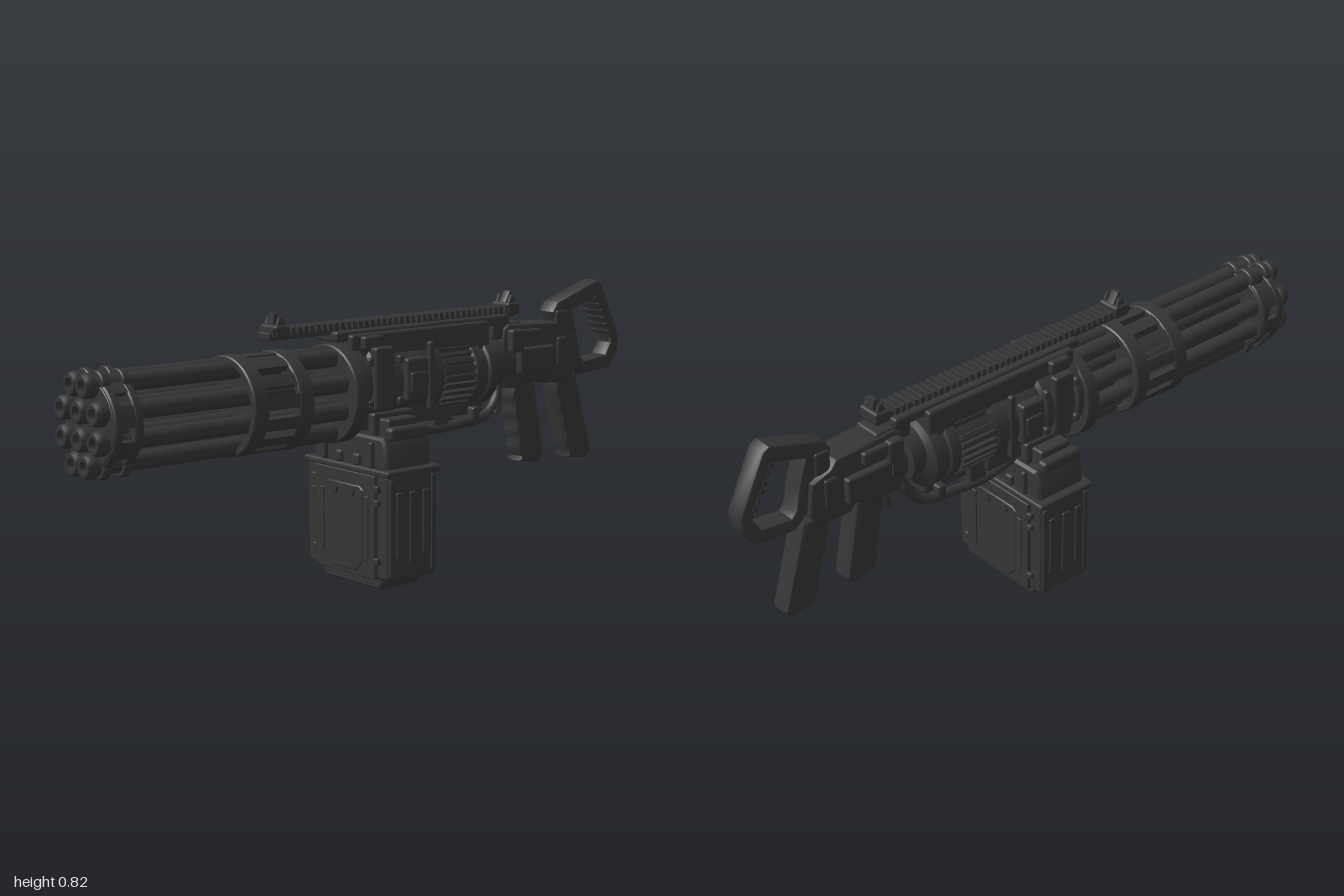
import * as THREE from 'three';
import { RoundedBoxGeometry } from 'three/addons/geometries/RoundedBoxGeometry.js';
import { toCreasedNormals } from 'three/addons/utils/BufferGeometryUtils.js';

export function createModel() {
  const root = new THREE.Group();
  const gunmetal = new THREE.MeshStandardMaterial({ color: 0x363636 });
  gunmetal.name = 'gunmetal';
  const AXIS = 0.565;

  const add = (name, geo, x = 0, y = 0, z = 0) => {
    const m = new THREE.Mesh(geo, gunmetal);
    m.name = name;
    m.position.set(x, y, z);
    root.add(m);
    return m;
  };
  // softened block given by its extents in y and z, centred on x
  const block = (name, w, y0, y1, z0, z1, x = 0, r = 0.008) =>
    add(name, new RoundedBoxGeometry(w, y1 - y0, z1 - z0, 2, Math.min(r, w / 3, (y1 - y0) / 3, (z1 - z0) / 3)),
      x, (y0 + y1) / 2, (z0 + z1) / 2);
  const both = (fn) => [-1, 1].forEach(fn);
  // turned part along z, profile points are [radius, z]
  const turned = (name, pts, x = 0, y = AXIS, seg = 32) => {
    const g = new THREE.LatheGeometry(pts.map(p => new THREE.Vector2(...p)), seg);
    return add(name, toCreasedNormals(g.rotateX(Math.PI / 2), 0.6), x, y);
  };
  const shapeOf = (pts) => new THREE.Shape(pts.map(p => new THREE.Vector2(...p)));
  // side profile in [z, y], extruded to width w with bevelled edges
  const profile = (name, shape, w, x = 0, bevel = 0.01) => {
    const g = new THREE.ExtrudeGeometry(shape, {
      depth: w - 2 * bevel, bevelThickness: bevel, bevelSize: bevel, bevelOffset: -bevel, bevelSegments: 2, curveSegments: 8
    });
    g.translate(0, 0, bevel - w / 2).rotateY(-Math.PI / 2);
    return add(name, toCreasedNormals(g, 0.7), x);
  };
  // front profile in [x, y], extruded from z0 to z1
  const frontal = (name, shape, z0, z1, bevel = 0.004) => {
    const g = new THREE.ExtrudeGeometry(shape, {
      depth: z1 - z0 - 2 * bevel, bevelThickness: bevel, bevelSize: bevel, bevelOffset: -bevel, bevelSegments: 1, curveSegments: 24
    });
    return add(name, toCreasedNormals(g.translate(0, 0, z0 + bevel), 0.5));
  };
  const tube = (name, pts, r) => add(name, new THREE.TubeGeometry(
    new THREE.CatmullRomCurve3(pts.map(p => new THREE.Vector3(...p))), 24, r, 10));
  const arcShape = (r0, r1, a0, a1) => {
    const s = new THREE.Shape();
    s.absarc(0, AXIS, r1, a0, a1, false);
    s.absarc(0, AXIS, r0, a1, a0, true);
    return s;
  };
  const ring = (name, r0, r1, z0, z1) => {
    const s = new THREE.Shape().absarc(0, AXIS, r1, 0, Math.PI * 2, false);
    s.holes.push(new THREE.Path().absarc(0, AXIS, r0, 0, Math.PI * 2, true));
    return frontal(name, s, z0, z1);
  };
  const slotted = (name, r0, r1, z0, z1, end, n, fill) => {
    ring(name + 'RearRing', r0, r1, z0, z0 + end);
    ring(name + 'FrontRing', r0, r1, z1 - end, z1);
    for (let i = 0; i < n; i++) {
      const a = i * Math.PI * 2 / n;
      frontal(name + 'Bar', arcShape(r0, r1 - 0.002, a, a + Math.PI * 2 / n * fill), z0 + end - 0.006, z1 - end + 0.006, 0.001);
    }
  };

  // barrels
  const spots = [[0, 0.6], [0, 0.525]];
  both(s => spots.push([s * 0.03, 0.67], [s * 0.078, 0.602], [s * 0.078, 0.525], [s * 0.03, 0.458]));
  for (const [x, y] of spots) {
    turned('barrel', [[0.026, 0.12], [0.026, 0.955], [0.026, 0.966], [0.034, 0.97], [0.034, 0.988], [0.027, 1],
      [0.017, 1], [0.013, 0.985], [0.013, 0.96], [0, 0.96]], x, y, 14);
    if (x) both(s => turned('clampLobe', [[0, -0.012], [0.036, -0.012], [0.039, -0.008], [0.039, 0.008], [0.036, 0.012], [0, 0.012]], x, y, 18)
      .position.z = 0.914 + s * 0.032);
  }
  // muzzle clamp
  both(s => turned('muzzleClampPlate', [[0, -0.014], [0.116, -0.014], [0.12, -0.01], [0.12, 0.01], [0.116, 0.014], [0, 0.014]])
    .position.z = 0.914 + s * 0.032);
  slotted('muzzleClamp', 0.108, 0.126, 0.87, 0.958, 0.026, 8, 0.6);
  turned('clampCore', [[0, 0.88], [0.095, 0.88], [0.095, 0.95], [0, 0.95]]);

  // slotted barrel sleeve
  slotted('sleeve', 0.118, 0.141, 0.32, 0.525, 0.05, 14, 0.6);
  turned('sleeveSpacer', [[0, 0.34], [0.117, 0.34], [0.117, 0.36], [0, 0.36]]);
  turned('sleeveFrontSpacer', [[0, 0.485], [0.117, 0.485], [0.117, 0.505], [0, 0.505]]);

  // rotor collar and receiver housing
  turned('collar', [[0, 0.125], [0.138, 0.125], [0.142, 0.13], [0.142, 0.165], [0.138, 0.17], [0, 0.17]]);
  turned('housing', [[0, -0.2], [0.1, -0.2], [0.108, -0.18], [0.108, -0.02], [0.118, -0.01], [0.118, 0.07],
    [0.108, 0.08], [0.108, 0.1], [0.122, 0.105], [0.122, 0.135], [0, 0.135]], 0, 0.59);
  block('receiverTop', 0.14, 0.64, 0.735, -0.4, 0.13);
  block('railMount', 0.1, 0.715, 0.745, -0.5, 0.17);
  block('receiverBelly', 0.15, 0.46, 0.6, -0.2, 0.12);
  both(s => {
    block('sidePlate', 0.03, 0.52, 0.7, 0.015, 0.085, s * 0.107);
    block('sideCover', 0.034, 0.535, 0.66, -0.11, -0.03, s * 0.108);
    block('sideCoverBoss', 0.02, 0.56, 0.62, -0.1, -0.04, s * 0.122);
    block('sideRib', 0.02, 0.5, 0.7, -0.145, -0.125, s * 0.103);
    block('topLatch', 0.03, 0.69, 0.73, 0.03, 0.1, s * 0.075);
    for (const z of [-0.012, 0.1]) for (const y of [0.54, 0.66]) block('boltHead', 0.02, y - 0.012, y + 0.012, z - 0.01, z + 0.01, s * 0.112);
  });

  // finned motor
  turned('motor', [[0, -0.43], [0.07, -0.43], [0.09, -0.415], [0.106, -0.405], [0.106, -0.375], [0.098, -0.37], [0.098, -0.355],
    [0.106, -0.35], [0.106, -0.32], [0.097, -0.315], [0.097, -0.19], [0.108, -0.185], [0.108, -0.16], [0, -0.16]], 0, 0.585);
  for (let i = 0; i < 28; i++) {
    const a = i * Math.PI / 14;
    const fin = add('motorFin', new THREE.BoxGeometry(0.02, 0.011, 0.122), Math.cos(a) * 0.1, 0.585 + Math.sin(a) * 0.1, -0.252);
    fin.rotation.z = a;
  }
  turned('motorNeck', [[0, -0.52], [0.06, -0.52], [0.06, -0.47], [0.08, -0.465], [0.08, -0.42], [0, -0.42]], 0, 0.6);

  // rear body
  profile('rearBody', shapeOf([[-0.48, 0.7], [-0.5, 0.715], [-0.7, 0.705], [-0.72, 0.68], [-0.78, 0.66], [-0.79, 0.56],
    [-0.76, 0.52], [-0.66, 0.52], [-0.64, 0.54], [-0.58, 0.52], [-0.49, 0.52], [-0.47, 0.56]]), 0.1);
  block('rearTop', 0.08, 0.67, 0.72, -0.56, -0.44);
  both(s => {
    block('rearSidePanel', 0.03, 0.56, 0.64, -0.68, -0.53, s * 0.056);
    block('rearUpperPanel', 0.024, 0.655, 0.695, -0.62, -0.5, s * 0.054);
    block('rearLug', 0.03, 0.63, 0.7, -0.54, -0.49, s * 0.06);
    block('rearClamp', 0.024, 0.57, 0.66, -0.745, -0.7, s * 0.045);
  });

  // grips with finger ridges on the front edge
  const grip = (name, z, y, dz, h, w) => {
    const pts = [[z - 0.1, y], [z - 0.1 - dz, y - h + 0.02], [z - 0.08 - dz, y - h], [z - dz, y - h + 0.012]];
    for (let i = 0; i <= 8; i++) {
      const t = 0.1 + i * 0.1;
      pts.push([z - dz * (1 - t) + (i % 2 ? 0.0 : -0.009), y - h * (1 - t)]);
    }
    pts.push([z + 0.012, y]);
    return profile(name, shapeOf(pts), w, 0, 0.014);
  };
  grip('frontGrip', -0.525, 0.54, 0.045, 0.268, 0.07);
  grip('rearGrip', -0.705, 0.54, 0.075, 0.28, 0.07);
  tube('trigger', [[0, 0.53, -0.5], [0, 0.48, -0.505], [0, 0.44, -0.49]], 0.009);

  // rear carrying loop
  const loop = shapeOf([[-0.7, 0.735], [-0.72, 0.765], [-0.895, 0.822], [-0.915, 0.81], [-0.998, 0.64], [-0.992, 0.585],
    [-0.955, 0.54], [-0.83, 0.53], [-0.785, 0.57], [-0.775, 0.65], [-0.72, 0.68]]);
  loop.holes.push(new THREE.Path([[-0.785, 0.735], [-0.81, 0.66], [-0.825, 0.59], [-0.84, 0.572], [-0.935, 0.583], [-0.958, 0.62],
    [-0.955, 0.64], [-0.885, 0.768]].map(p => new THREE.Vector2(...p))));
  profile('carryLoop', loop, 0.066);
  for (let i = 0; i < 6; i++) {
    const rib = add('loopRib', new THREE.BoxGeometry(0.07, 0.014, 0.014), 0, 0.765 - i * 0.022, -0.892 - i * 0.0118);
    rib.rotation.x = 0.5;
  }
  block('loopHinge', 0.08, 0.67, 0.74, -0.76, -0.71);

  // toothed top rail and folding sights
  block('rail', 0.05, 0.735, 0.758, -0.545, 0.39, 0, 0.004);
  for (let i = 0; i < 42; i++) add('railTooth', new THREE.BoxGeometry(0.066, 0.02, 0.012), 0, 0.758, 0.375 - i * 0.0219);
  for (const [z, d] of [[0.35, 1], [-0.53, -1]]) {
    block('sightBase', 0.074, 0.74, 0.778, z - 0.025, z + 0.025);
    profile('sightPost', shapeOf([[z - 0.018, 0.775], [z + 0.018, 0.775], [z + 0.008 * d + 0.006, 0.81], [z + 0.008 * d - 0.006, 0.81]]), 0.03, 0, 0.003);
    both(s => profile('sightEar', shapeOf([[z - 0.018, 0.77], [z + 0.018, 0.77], [z + 0.006, 0.8], [z - 0.006, 0.8]]), 0.01, s * 0.025, 0.002));
  }

  // hoses and brackets under the receiver
  both(s => tube('hose', [[s * 0.04, 0.45, -0.05], [s * 0.05, 0.43, -0.18], [s * 0.05, 0.435, -0.3], [s * 0.045, 0.45, -0.41],
    [s * 0.035, 0.5, -0.46], [s * 0.03, 0.56, -0.47]], 0.015));
  block('hoseBracket', 0.12, 0.42, 0.5, -0.25, -0.19);
  block('underMotor', 0.08, 0.455, 0.51, -0.4, -0.1);
  block('rearHoseClamp', 0.13, 0.43, 0.48, -0.37, -0.34);

  // feed tower
  frontal('feedShoulder', shapeOf([[-0.165, 0.35], [0.165, 0.35], [0.16, 0.42], [0.145, 0.445], [-0.145, 0.445], [-0.16, 0.42]]), -0.085, 0.085, 0.008);
  block('feedTower', 0.2, 0.36, 0.51, -0.075, 0.075);
  both(s => {
    block('feedKnob', 0.036, 0.435, 0.475, -0.07, 0.07, s * 0.152, 0.012);
    block('feedArm', 0.05, 0.42, 0.495, -0.055, 0.055, s * 0.115);
    both(f => {
      block('feedRib', 0.016, 0.355, 0.43, f * 0.088 - 0.01, f * 0.088 + 0.01, s * 0.105);
      block('feedLug', 0.03, 0.355, 0.39, f * 0.085 - 0.012, f * 0.085 + 0.012, s * 0.04);
    });
  });

  // ammunition box
  block('ammoBox', 0.362, 0.033, 0.345, -0.092, 0.092, 0, 0.014);
  block('ammoLid', 0.382, 0.336, 0.356, -0.102, 0.102, 0, 0.007);
  frontal('ammoFoot', shapeOf([[-0.12, 0], [0.12, 0], [0.145, 0.03], [0.145, 0.045], [-0.145, 0.045], [-0.145, 0.03]]), -0.075, 0.075, 0.005);
  both(f => {
    const z = f * 0.096;
    block('boxPanel', 0.27, 0.036, 0.338, z - 0.008, z + 0.008, 0, 0.004);
    frontal('boxInset', shapeOf([[-0.055, 0.05], [0.055, 0.05], [0.085, 0.08], [0.085, 0.29], [0.07, 0.3], [-0.07, 0.3], [-0.085, 0.29], [-0.085, 0.08]]),
      z - 0.011, z + 0.011, 0.003);
    both(s => {
      block('boxStrip', 0.02, 0.085, 0.275, z - 0.012, z + 0.012, s * 0.1, 0.003);
      const bolt = add('boxBolt', new THREE.CylinderGeometry(0.015, 0.015, 0.03, 16), s * 0.038, 0.28, f * 0.1);
      bolt.rotation.x = Math.PI / 2;
      for (const y of [0.09, 0.26, 0.3]) block('boxClip', 0.02, y - 0.01, y + 0.01, z - 0.01, z + 0.01, s * 0.14, 0.004);
    });
  });
  both(s => {
    for (const z of [-0.05, 0, 0.05]) block('boxSideRib', 0.014, 0.08 + Math.abs(z) * 0.4, 0.29, z - 0.012, z + 0.012, s * 0.18, 0.004);
    both(f => block('boxCorner', 0.012, 0.05, 0.33, f * 0.078 - 0.008, f * 0.078 + 0.008, s * 0.18, 0.003));
  });
  return root;
}
